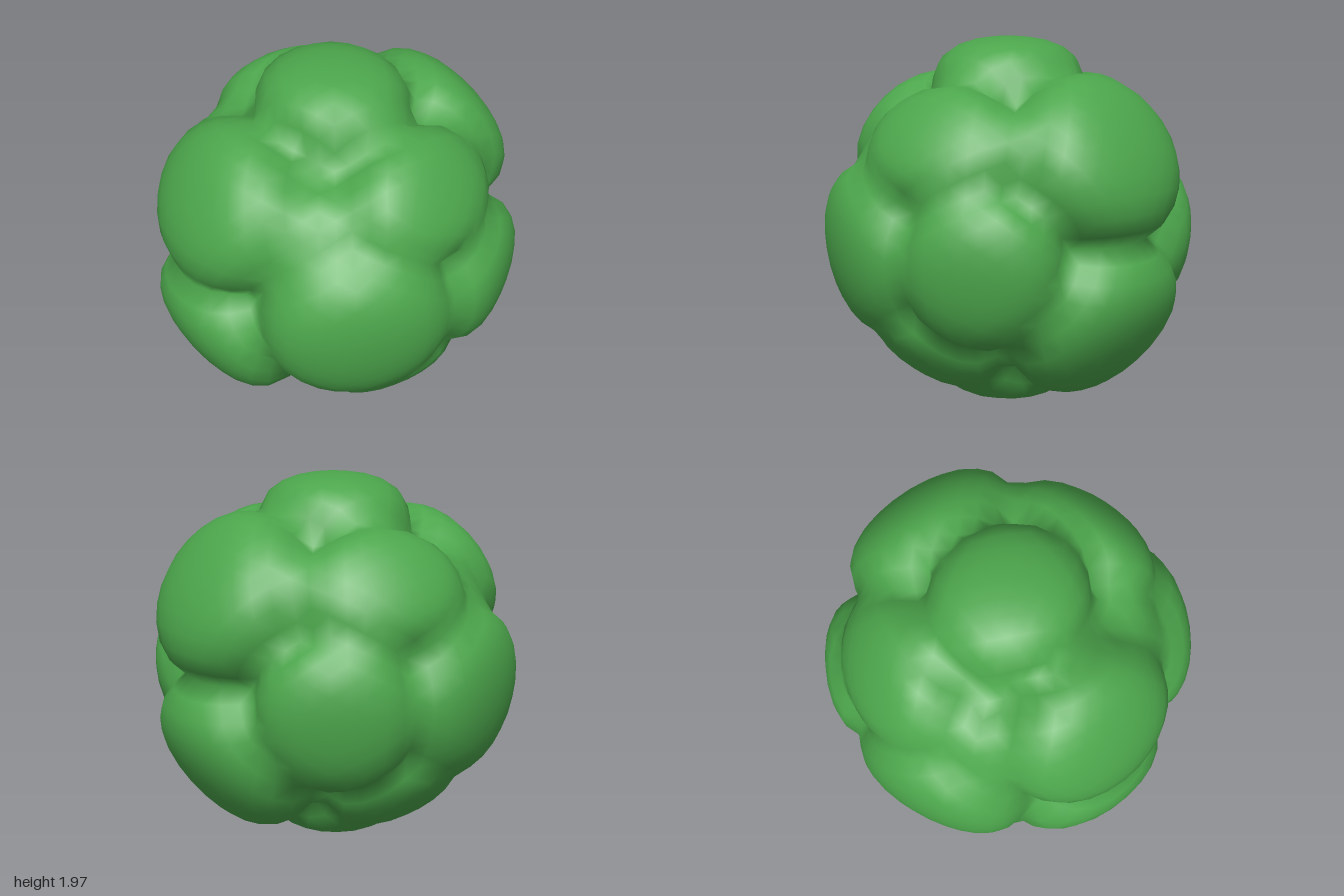
import * as THREE from 'three';
import { mergeVertices } from 'three/addons/utils/BufferGeometryUtils.js';

// Leaf clumps: turn from the front towards +x, lift above the horizon,
// half-width sideways and upwards (all in degrees), height of the crown
const middle = [
  [0, 90, 28.5, 31, 0.985], [0, -90, 29, 32, 0.985],
  [90, 32, 35.5, 32.5, 1.03], [90, -33.5, 36, 32.5, 1.035],
  [-90, 30, 36, 31.5, 0.995], [-90, -29.5, 34, 32, 1.02],
];
// Clumps that repeat at the front and back
const paired = [
  [-23, -8, 36.5, 34.5, 0.995],
  [35, -8, 29.5, 30, 0.995],
  [13, 37, 35, 25.5, 0.97],
  [-38, 27, 24, 24, 0.87],
  [0, -46, 29, 28, 0.96],
];
const CENTRE_Y = 0.985;
const CORE = 0.77;

// Unit vector from a turn and lift in degrees
const aim = (turn, lift) => new THREE.Vector3().setFromSphericalCoords(
  1, THREE.MathUtils.degToRad(90 - lift), THREE.MathUtils.degToRad(turn));

export function createModel() {
  const group = new THREE.Group();
  group.name = 'bush';
  const leafGreen = new THREE.MeshStandardMaterial({ color: 0x4ca64c });
  leafGreen.name = 'leafGreen';

  const back = paired.map(([turn, ...rest]) => [180 - turn, ...rest]);
  const clumps = [...middle, ...paired, ...back].map(([turn, lift, wide, tall, crown]) => ({
    axis: aim(turn, lift),
    side: aim(turn + 90, 0),
    up: aim(turn, lift + 90),
    wide: THREE.MathUtils.degToRad(wide),
    tall: THREE.MathUtils.degToRad(tall),
    crown,
  }));

  // Push a round ball outwards to the highest clump in each direction;
  // every clump is an oval cushion, flat on top and steep at its rim
  const ball = new THREE.IcosahedronGeometry(1, 11);
  ball.deleteAttribute('normal');
  ball.deleteAttribute('uv');
  const geometry = mergeVertices(ball, 1e-4);
  const pos = geometry.attributes.position;
  const dir = new THREE.Vector3();
  for (let i = 0; i < pos.count; i++) {
    dir.fromBufferAttribute(pos, i).normalize();
    let reach = CORE;
    for (const { axis, side, up, wide, tall, crown } of clumps) {
      const s = dir.dot(side), u = dir.dot(up);
      const squash = Math.hypot(s / wide, u / tall) / Math.max(Math.hypot(s, u), 1e-6);
      reach = Math.max(reach, crown - 0.17 * (dir.angleTo(axis) * squash) ** 4.8);
    }
    dir.multiplyScalar(reach);
    pos.setXYZ(i, dir.x, dir.y + CENTRE_Y, dir.z);
  }
  geometry.computeVertexNormals();

  const foliage = new THREE.Mesh(geometry, leafGreen);
  foliage.name = 'foliage';
  group.add(foliage);
  return group;
}
